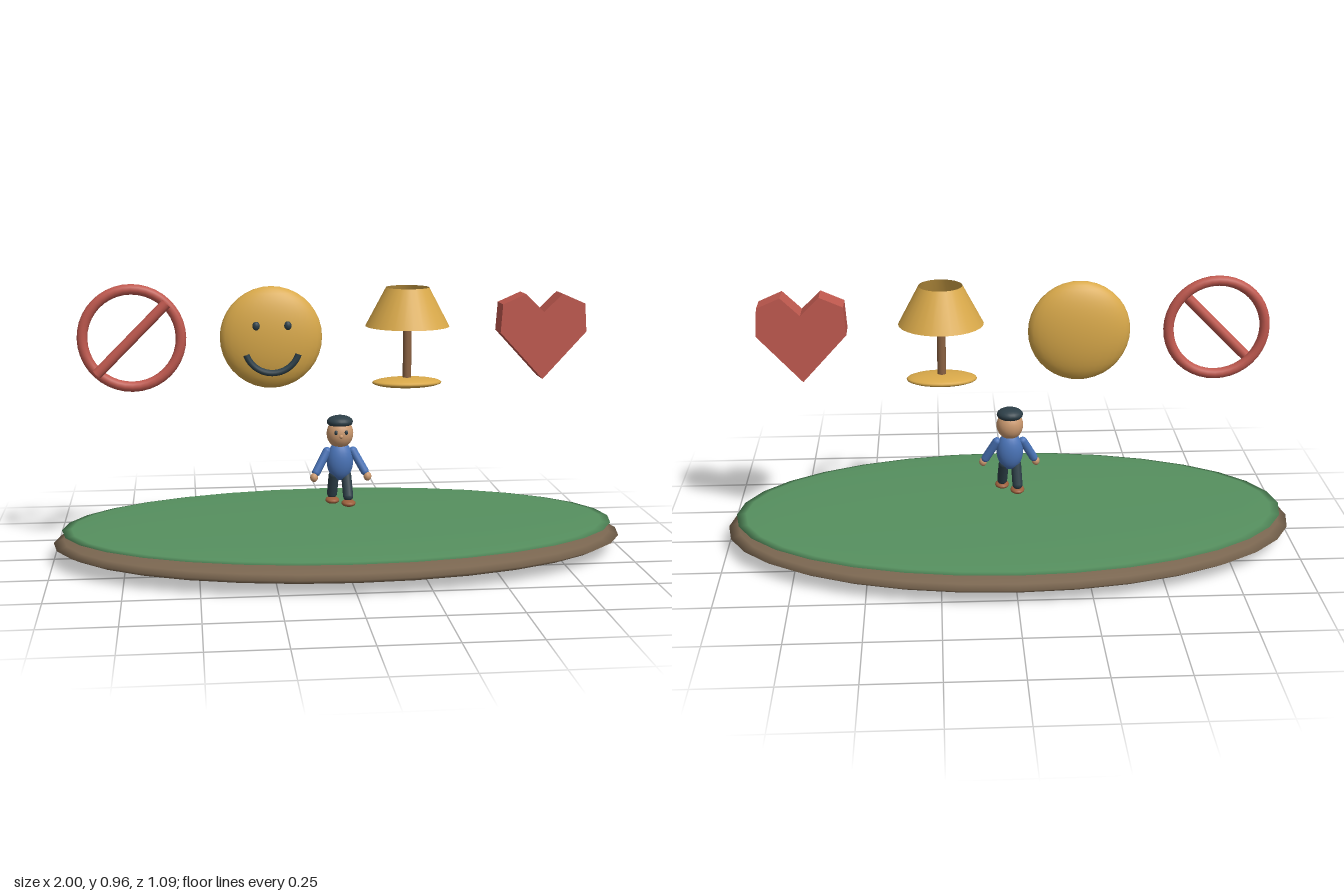
import * as THREE from 'three';

const mat = (color, side = THREE.FrontSide) => new THREE.MeshStandardMaterial({ color, side });
const M = {
  soil: mat(0x7a6650), grass: mat(0x56905f), red: mat(0xc0594f), gold: mat(0xd9a94a),
  shade: mat(0xd9a94a, THREE.DoubleSide), wood: mat(0x8b6242), blue: mat(0x4a74b8),
  dark: mat(0x2d3f48), skin: mat(0xcc9a70), shoe: mat(0x9c5f3c),
};

function add(parent, name, geo, material, x = 0, y = 0, z = 0) {
  const m = new THREE.Mesh(geo, material);
  m.name = name;
  m.position.set(x, y, z);
  parent.add(m);
  return m;
}

// Ellipsoid with radii r = [rx, ry, rz] at position p
function ball(parent, name, material, p, r, w = 20, h = 14) {
  return add(parent, name, new THREE.SphereGeometry(1, w, h).scale(...r), material, ...p);
}

// Rounded limb between two points
function limb(parent, name, material, a, b, r) {
  const A = new THREE.Vector3(...a), B = new THREE.Vector3(...b);
  const d = B.clone().sub(A);
  const m = add(parent, name, new THREE.CapsuleGeometry(r, d.length(), 5, 12), material);
  m.position.copy(A).lerp(B, 0.5);
  m.quaternion.setFromUnitVectors(new THREE.Vector3(0, 1, 0), d.normalize());
  return m;
}

function group(parent, name, x = 0, y = 0) {
  const g = new THREE.Group();
  g.name = name;
  g.position.set(x, y, 0);
  parent.add(g);
  return g;
}

function addIsland(root) {
  const g = group(root, 'island');
  ball(g, 'soil', M.soil, [0, 0.06, 0], [1, 0.058, 0.545], 32, 12);
  ball(g, 'grass', M.grass, [0, 0.105, 0], [0.97, 0.017, 0.523], 32, 12);
}

function addFigure(root) {
  const g = group(root, 'figure');
  ball(g, 'torso', M.blue, [0, 0.33, 0], [0.047, 0.07, 0.036]);
  ball(g, 'head', M.skin, [0, 0.428, 0], [0.047, 0.052, 0.044]);
  ball(g, 'cap', M.dark, [0, 0.469, -0.003], [0.046, 0.023, 0.043]);
  ball(g, 'nose', M.skin, [0, 0.424, 0.044], [0.007, 0.007, 0.007], 10, 8);
  for (const s of [-1, 1]) {
    ball(g, 'eye', M.dark, [s * 0.018, 0.438, 0.041], [0.006, 0.008, 0.006], 10, 8);
    limb(g, 'arm', M.blue, [s * 0.046, 0.365, 0.002], [s * 0.085, 0.295, 0.02], 0.015);
    ball(g, 'hand', M.skin, [s * 0.094, 0.278, 0.028], [0.014, 0.016, 0.014], 12, 8);
    // Striding legs: the left one leads
    const z = s > 0 ? 0.028 : -0.02;
    limb(g, 'leg', M.dark, [s * 0.022, 0.278, 0], [s * 0.026, 0.208, z], 0.018);
    ball(g, 'shoe', M.shoe, [s * 0.026, 0.186, s > 0 ? 0.038 : -0.012], [0.025, 0.012, 0.033], 14, 10);
  }
}

function addForbiddenSign(root) {
  const g = group(root, 'forbiddenSign', -0.713, 0.773);
  add(g, 'ring', new THREE.TorusGeometry(0.167, 0.018, 12, 40), M.red);
  const bar = add(g, 'slash', new THREE.CylinderGeometry(0.018, 0.018, 0.34, 12), M.red, 0, 0, 0.018);
  bar.rotation.z = -Math.PI / 4;
}

function addSmileyFace(root) {
  const g = group(root, 'smileyFace', -0.238, 0.77);
  ball(g, 'face', M.gold, [0, 0, 0], [0.176, 0.176, 0.06], 28, 18);
  for (const s of [-1, 1]) ball(g, 'eye', M.dark, [s * 0.054, 0.046, 0.055], [0.013, 0.015, 0.01], 12, 8);
  const arc = 2.5;
  const smile = add(g, 'smile', new THREE.TorusGeometry(0.094, 0.011, 10, 24, arc), M.dark, 0, -0.02, 0.069);
  smile.rotation.z = -Math.PI / 2 - arc / 2;
}

function addLamp(root) {
  const g = group(root, 'lamp', 0.235);
  ball(g, 'lampBase', M.gold, [0, 0.605, 0], [0.122, 0.018, 0.076], 24, 12);
  add(g, 'lampPole', new THREE.CylinderGeometry(0.015, 0.015, 0.215, 12), M.wood, 0, 0.7125, 0);
  add(g, 'lampShade', new THREE.CylinderGeometry(0.075, 0.146, 0.134, 28, 1, true), M.shade, 0, 0.87, 0);
}

function addHeart(root) {
  const g = group(root, 'heart', 0.707, 0.77);
  const half = [[0.152, 0.01], [0.145, 0.108], [0.065, 0.143]];
  const pts = [[0, -0.155], ...half, [0, 0.08], ...half.map(([x, y]) => [-x, y]).reverse()];
  const shape = new THREE.Shape(pts.map(([x, y]) => new THREE.Vector2(x, y)));
  const geo = new THREE.ExtrudeGeometry(shape, { depth: 0.09, bevelEnabled: false });
  add(g, 'heartBody', geo.translate(0, 0, -0.045), M.red);
}

export function createModel() {
  const root = new THREE.Group();
  root.name = 'figureWithFloatingIcons';
  addIsland(root);
  addFigure(root);
  addForbiddenSign(root);
  addSmileyFace(root);
  addLamp(root);
  addHeart(root);
  return root;
}
